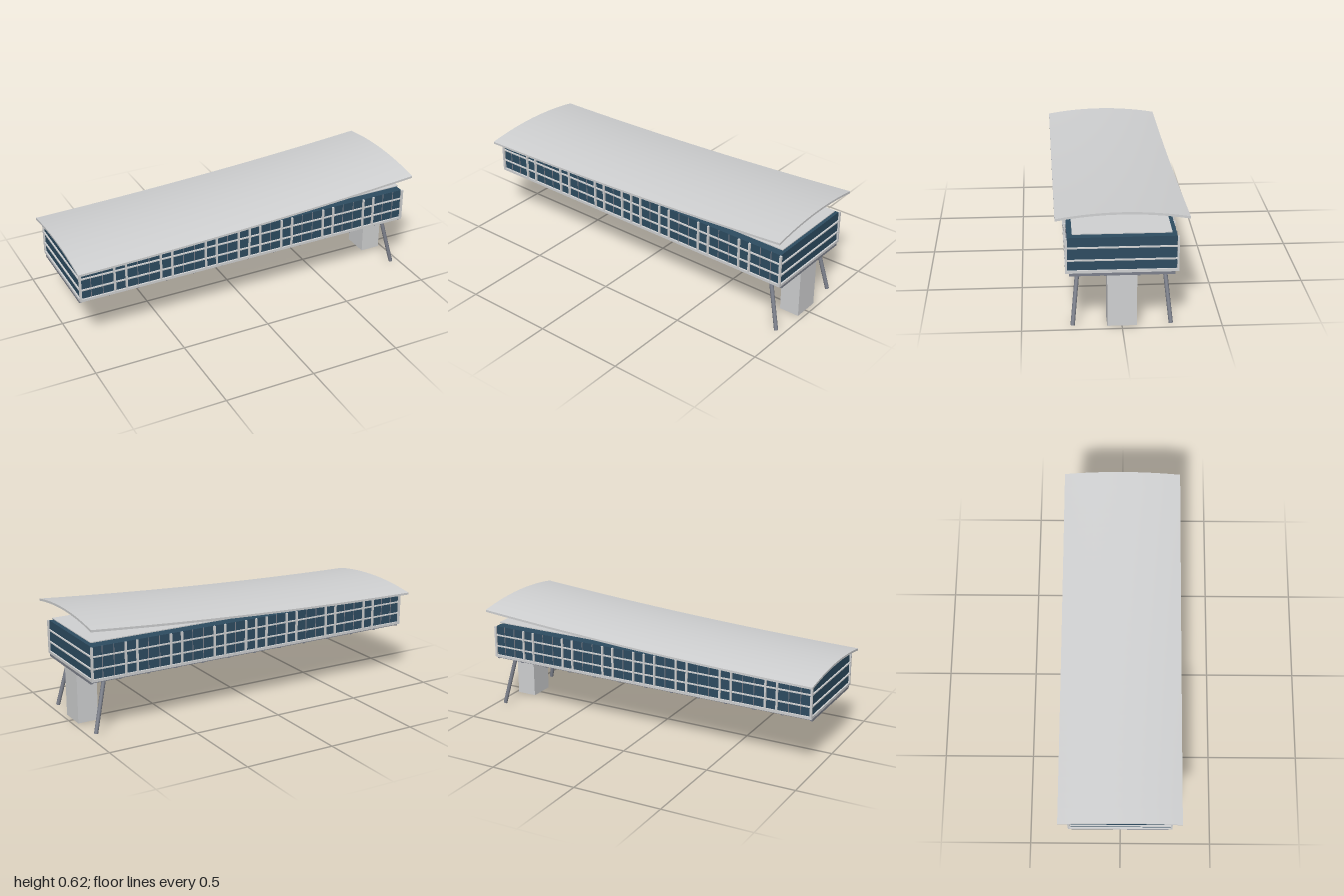
import * as THREE from 'three';

const mat = (name, color, side = THREE.FrontSide) => {
  const m = new THREE.MeshStandardMaterial({ color, side });
  m.name = name;
  return m;
};

export function createModel() {
  const model = new THREE.Group();
  model.name = 'raisedPavilion';
  const pale = mat('paleConcrete', 0xd0d1d2);
  const glass = mat('blueGlass', 0x2d4c61);
  const steel = mat('greySteel', 0x7e828d);

  const add = (name, geo, material, parent = model) => {
    const mesh = new THREE.Mesh(geo, material);
    mesh.name = name;
    parent.add(mesh);
    return mesh;
  };
  // Box given by its limits on each axis
  const box = (name, x0, x1, y0, y1, z0, z1, material, parent) => {
    const mesh = add(name, new THREE.BoxGeometry(x1 - x0, y1 - y0, z1 - z0), material, parent);
    mesh.position.set((x0 + x1) / 2, (y0 + y1) / 2, (z0 + z1) / 2);
    return mesh;
  };
  const group = (name) => {
    const g = new THREE.Group();
    g.name = name;
    model.add(g);
    return g;
  };

  // Roof: arched across z and rising towards +x
  const roofGeo = new THREE.BoxGeometry(2, 0.012, 0.656, 24, 1, 16);
  const p = roofGeo.attributes.position;
  for (let i = 0; i < p.count; i++) {
    const t = (p.getX(i) + 1) / 2;
    const s = p.getZ(i) / 0.328;
    p.setY(i, p.getY(i) + 0.519 + 0.03 * t + 0.068 * t * t - 0.029 * s * s);
  }
  roofGeo.computeVertexNormals();
  add('curvedRoof', roofGeo, pale);

  // Ceiling deck, glazed hall and floor slab
  box('ceilingDeck', -0.967, 0.967, 0.497, 0.502, -0.245, 0.245, pale);
  box('glazedHall', -0.974, 0.974, 0.305, 0.483, -0.27, 0.27, glass);
  box('floorSlab', -0.983, 0.983, 0.298, 0.312, -0.28, 0.28, pale);

  // Facade frame: horizontal rails on all four sides
  const frame = group('facadeFrame');
  for (const y of [0.365, 0.431]) {
    for (const s of [-1, 1]) {
      const rail = box('longRail', -0.983, 0.983, y - 0.0035, y + 0.0035, 0.268, 0.278, pale, frame);
      rail.position.z *= s;
      const endRail = box('endRail', 0.972, 0.982, y - 0.0035, y + 0.0035, -0.27, 0.27, pale, frame);
      endRail.position.x *= s;
    }
  }
  // Mullions: wide ones in pairs, slim ones between, posts at the corners
  const wide = [0, 1, 3, 4, 7, 8, 11, 12];
  const step = 0.0655;
  for (let n = -14; n <= 14; n++) {
    const isWide = wide.includes(Math.abs(n));
    const w = isWide ? 0.005 : 0.0015;
    for (const s of [-1, 1]) {
      const m = box(isWide ? 'mullion' : 'slimMullion', n * step - w, n * step + w,
        0.312, 0.483, 0.268, isWide ? 0.28 : 0.274, isWide ? pale : steel, frame);
      m.position.z *= s;
    }
  }
  for (const sx of [-1, 1]) {
    for (const sz of [-1, 1]) {
      const post = box('cornerPost', 0.971, 0.983, 0.312, 0.483, 0.27, 0.28, pale, frame);
      post.position.x *= sx;
      post.position.z *= sz;
    }
  }

  // Beam grid below the floor
  const grid = group('floorBeams');
  for (let i = -6; i <= 6; i++) {
    const x = i * 0.1625;
    box('crossBeam', x - 0.007, x + 0.007, 0.283, 0.298, -0.261, 0.261, steel, grid);
  }
  for (const z of [-0.247, -0.082, 0.082, 0.247]) {
    const low = Math.abs(z) < 0.1 ? 0.279 : 0.284;
    box('longBeam', -0.98, 0.98, low, 0.298, z - 0.007, z + 0.007, steel, grid);
  }

  // Core pillar and two splayed legs
  box('corePillar', 0.863, 0.977, 0.005, 0.298, -0.074, 0.074, pale);
  for (const s of [-1, 1]) {
    const top = new THREE.Vector3(0.885, 0.292, s * 0.216);
    const foot = new THREE.Vector3(0.955, 0.003, s * 0.246);
    const dir = top.clone().sub(foot);
    const geo = new THREE.CylinderGeometry(0.011, 0.011, dir.length(), 12);
    const leg = add('splayedLeg', geo, steel);
    leg.position.copy(top).add(foot).multiplyScalar(0.5);
    leg.quaternion.setFromUnitVectors(new THREE.Vector3(0, 1, 0), dir.normalize());
  }
  return model;
}
